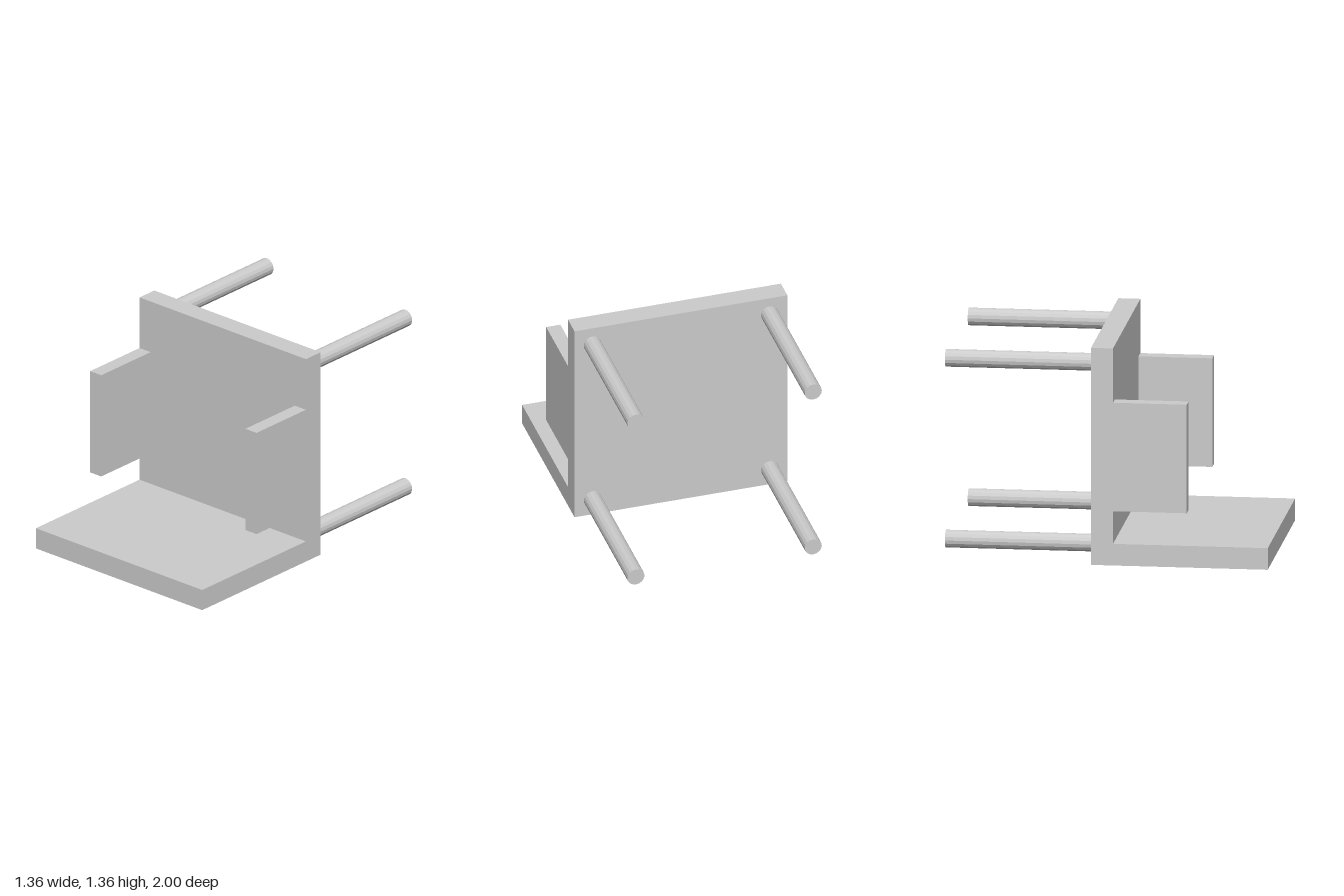
import * as THREE from 'three';

export function createModel() {
  const model = new THREE.Group();
  model.name = 'tippedArmchair';
  const material = new THREE.MeshStandardMaterial({ color: 0xcccccc });
  const legMaterial = new THREE.MeshStandardMaterial({ color: 0xcccccc, flatShading: true });

  // Box given by its minimum and maximum corners
  function slab(name, [x0, y0, z0], [x1, y1, z1]) {
    const mesh = new THREE.Mesh(new THREE.BoxGeometry(x1 - x0, y1 - y0, z1 - z0), material);
    mesh.position.set((x0 + x1) / 2, (y0 + y1) / 2, (z0 + z1) / 2);
    mesh.name = name;
    model.add(mesh);
  }

  const half = 0.682;         // half the seat width
  const under = -0.091;       // underside of the seat
  const top = 0.045;          // sitting surface

  // The chair lies on its backrest: seat upright, backrest on the ground
  slab('seat', [-half, 0, under], [half, 2 * half, top]);
  slab('backrest', [-half, 0, top], [half, 0.136, 1]);

  // Armrest panels
  slab('leftArmrest', [0.591, 0.341, top], [half, 1.023, 0.5]);
  slab('rightArmrest', [-half, 0.341, top], [-0.591, 1.023, 0.5]);

  // Four round legs pointing backwards
  const legLength = 1 + under;
  const legGeometry = new THREE.CylinderGeometry(0.055, 0.055, legLength, 16).rotateX(Math.PI / 2);
  for (const side of [1, -1]) {
    for (const end of [1, -1]) {
      const leg = new THREE.Mesh(legGeometry, legMaterial);
      leg.name = (side > 0 ? 'left' : 'right') + (end > 0 ? 'Front' : 'Rear') + 'Leg';
      leg.position.set(side * 0.568, half + end * 0.568, under - legLength / 2);
      model.add(leg);
    }
  }
  return model;
}
